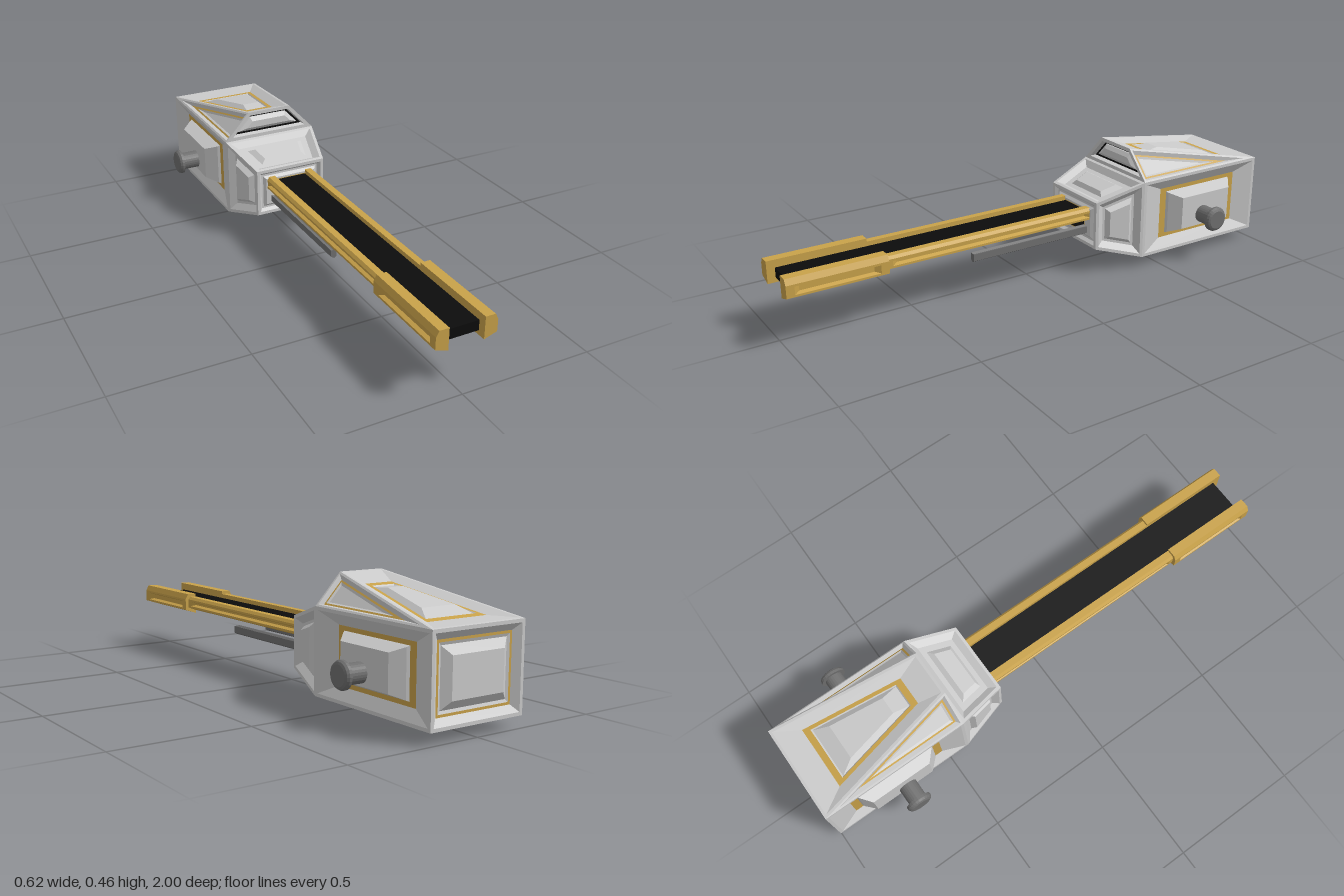
import * as THREE from 'three';

const GREY = 0xcccccc, DARK = 0x707070, GOLD = 0xc9a24a, BLACK = 0x0c0c0c;
const material = (color) => new THREE.MeshStandardMaterial({ color, flatShading: true, side: THREE.DoubleSide });
const mirror = (pts) => pts.map(([x, y, z]) => [-x, y, z]);

// Convex outline moved inwards; inset is one distance or one per edge.
function insetLoop(pts, normal, inset, depth, outward) {
  const n = pts.length;
  const dist = (i) => (Array.isArray(inset) ? inset[i] : inset);
  const inward = pts.map((p, i) => normal.clone().cross(pts[(i + 1) % n].clone().sub(p)).normalize());
  return pts.map((p, i) => {
    const h = (i + n - 1) % n, c = inward[h].dot(inward[i]), k = 1 - c * c;
    return p.clone()
      .addScaledVector(inward[h], (dist(h) - c * dist(i)) / k)
      .addScaledVector(inward[i], (dist(i) - c * dist(h)) / k)
      .addScaledVector(outward, depth);
  });
}

// Solid made of flat faces, each stepped inwards by rows of [inset, depth, colour].
function panelled(name, centre, faces, base = GREY) {
  const group = new THREE.Group();
  group.name = name;
  const byColor = new Map();
  const mid = new THREE.Vector3(...centre);
  for (const [corners, steps = []] of faces) {
    const pts = corners.map((c) => new THREE.Vector3(...c));
    const normal = pts[1].clone().sub(pts[0]).cross(pts[2].clone().sub(pts[0])).normalize();
    const centroid = pts.reduce((s, p) => s.add(p), new THREE.Vector3()).divideScalar(pts.length);
    const flip = normal.dot(centroid.sub(mid)) < 0;
    const outward = flip ? normal.clone().negate() : normal;
    const tri = (color, a, b, c) => {
      if (!byColor.has(color)) byColor.set(color, []);
      for (const v of flip ? [a, c, b] : [a, b, c]) byColor.get(color).push(v.x, v.y, v.z);
    };
    let ring = pts, color = base;
    for (const [inset, depth, stepColor = base] of steps) {
      const next = insetLoop(pts, normal, inset, depth, outward);
      color = stepColor;
      ring.forEach((a, i) => {
        const j = (i + 1) % ring.length;
        tri(color, a, ring[j], next[j]);
        tri(color, a, next[j], next[i]);
      });
      ring = next;
    }
    for (let i = 1; i < ring.length - 1; i++) tri(color, ring[0], ring[i], ring[i + 1]);
  }
  for (const [color, data] of byColor) {
    const geo = new THREE.BufferGeometry();
    geo.setAttribute('position', new THREE.Float32BufferAttribute(data, 3));
    geo.computeVertexNormals();
    const mesh = new THREE.Mesh(geo, material(color));
    mesh.name = name + 'Surface';
    group.add(mesh);
  }
  return group;
}

// Straight bar along z with an optional groove along one side.
function bar(name, section, z0, z1, color, groove = -1) {
  const at = (z) => section.map(([x, y]) => [x, y, z]);
  const a = at(z0), b = at(z1), n = section.length;
  const faces = [[a], [b]];
  for (let i = 0; i < n; i++) {
    const j = (i + 1) % n;
    const steps = [[[0.03, 0.008, 0.03, 0.008], 0], [[0.05, 0.014, 0.05, 0.014], -0.014]];
    faces.push([[a[i], a[j], b[j], b[i]], i === groove ? steps : []]);
  }
  const cx = section.reduce((s, p) => s + p[0], 0) / n, cy = section.reduce((s, p) => s + p[1], 0) / n;
  return panelled(name, [cx, cy, (z0 + z1) / 2], faces, color);
}

export function createModel() {
  const model = new THREE.Group();
  const W = 0.193, B = 0.04, T = 0.35, F = -0.42, R = -1;     // main housing
  const w = 0.145, b = 0.1, t = 0.29, f = -0.225;             // small front face
  const P = 0.09, H = 0.46;                                   // roof peak

  // Main housing
  const side = [[W, B, F], [W, B, R], [W, T, R], [W, T, F]];
  const sideSteps = [
    [0.012, 0], [[0.052, 0.095, 0.052, 0.1], -0.025],
    [[0.068, 0.125, 0.068, 0.13], -0.025, GOLD],
    [[0.072, 0.13, 0.072, 0.135], -0.015], [[0.09, 0.165, 0.09, 0.175], 0.027]];
  const back = [[-W, B, R], [W, B, R], [W, T, R], [-W, T, R]];
  const bottom = [[-W, B, F], [W, B, F], [W, B, R], [-W, B, R]];
  model.add(panelled('housing', [0, 0.2, -0.7], [
    [side, sideSteps], [mirror(side), sideSteps],
    [back, [[0.012, 0], [0.036, -0.02], [0.045, -0.02, GOLD], [0.055, -0.024], [0.085, -0.002]]],
    [bottom, [[0.012, 0], [[0.12, 0.05, 0.08, 0.05], -0.02], [[0.14, 0.065, 0.1, 0.065], -0.02, DARK],
      [[0.17, 0.09, 0.13, 0.09], -0.004], [[0.2, 0.115, 0.16, 0.115], -0.004],
      [[0.21, 0.125, 0.17, 0.125], -0.012, DARK]]],
  ]));

  // Tapered nose
  const noseSide = [[W, B, F], [w, b, f], [w, t, f], [W, T, F]];
  const noseTop = [[-W, T, F], [W, T, F], [w, t, f], [-w, t, f]];
  const noseBottom = [[-W, B, F], [W, B, F], [w, b, f], [-w, b, f]];
  const noseFront = [[-w, b, f], [w, b, f], [w, t, f], [-w, t, f]];
  const noseSteps = [[0.012, 0], [0.035, -0.02], [0.045, -0.02], [0.06, -0.002]];
  const noseTopSteps = [[0.012, 0], [0.035, -0.018], [[0.055, 0.06, 0.055, 0.06], -0.018], [[0.07, 0.08, 0.07, 0.08], -0.004]];
  model.add(panelled('nose', [0, 0.2, -0.36], [
    [noseSide, noseSteps], [mirror(noseSide), noseSteps],
    [noseTop, noseTopSteps], [noseBottom, noseTopSteps],
    [noseFront, [[0.012, 0], [0.022, -0.012], [0.03, -0.012], [0.04, -0.002],
      [[0.047, 0.076, 0.047, 0.076], -0.002], [[0.05, 0.079, 0.05, 0.079], -0.002, GOLD],
      [[0.05, 0.079, 0.05, 0.079], -0.05, BLACK]]],
  ]));

  // Sloping roof with a dark-framed front window
  const roofTop = [[-P, H, F], [P, H, F], [W, T, R], [-W, T, R]];
  const roofFront = [[-W, T, F], [W, T, F], [P, H, F], [-P, H, F]];
  const roofSide = [[W, T, F], [W, T, R], [P, H, F]];
  const roofSideSteps = [[0.008, 0], [0.019, -0.012], [0.026, -0.012, GOLD], [0.034, -0.016]];
  model.add(panelled('roof', [0, 0.38, -0.6], [
    [roofTop, [[0.01, 0], [[0.1, 0.05, 0.1, 0.05], -0.016], [[0.125, 0.064, 0.125, 0.064], -0.016, GOLD],
      [[0.13, 0.068, 0.13, 0.068], -0.02], [[0.19, 0.088, 0.19, 0.088], -0.004]]],
    [roofFront, [[0.014, 0], [0.018, -0.02], [0.026, -0.02, BLACK], [0.028, -0.016], [0.042, -0.004]]],
    [roofSide, roofSideSteps], [mirror(roofSide), roofSideSteps],
  ]));

  // Side knobs
  const knobProfile = [[0, 0.2], [0.035, 0.2], [0.035, 0.288], [0.049, 0.288], [0.049, 0.298], [0.044, 0.306], [0.036, 0.31], [0, 0.31]]
    .map(([r, y]) => new THREE.Vector2(r, y));
  for (const s of [1, -1]) {
    const knob = new THREE.Mesh(new THREE.LatheGeometry(knobProfile, 24), material(DARK));
    knob.name = s > 0 ? 'leftKnob' : 'rightKnob';
    knob.rotation.z = -s * Math.PI / 2;
    knob.position.set(0, 0.175, -0.7);
    model.add(knob);
  }

  // Barrel: paired grooved rails, thicker at the muzzle, with rods below
  const rearRail = [[0.066, 0.255], [0.092, 0.255], [0.101, 0.245], [0.101, 0.21], [0.066, 0.197]];
  const muzzleRail = [[0.066, 0.267], [0.103, 0.267], [0.114, 0.246], [0.114, 0.2], [0.066, 0.184]];
  const rod = [[0.063, 0.178], [0.072, 0.172], [0.085, 0.176], [0.085, 0.15], [0.073, 0.143], [0.063, 0.149]];
  for (const s of [1, -1]) {
    const flip = (section) => section.map(([x, y]) => [s * x, y]);
    const label = s > 0 ? 'left' : 'right';
    model.add(bar(label + 'Rail', flip(rearRail), -0.26, 0.64, GOLD, 2));
    model.add(bar(label + 'MuzzleRail', flip(muzzleRail), 0.63, 1, GOLD, 2));
    model.add(bar(label + 'Rod', flip(rod), -0.26, 0.28, DARK));
  }
  const core = new THREE.Mesh(new THREE.BoxGeometry(0.134, 0.038, 1.23), material(BLACK));
  core.name = 'barrelCore';
  core.position.set(0, 0.219, 0.355);
  model.add(core);

  // Slanted loop handle underneath
  const half = [[0.053, 0.06, -0.477], [0.053, 0.02, -0.513], [0.051, 0.01, -0.522], [0.043, 0.007, -0.525]];
  const path = [...half, ...mirror(half).reverse()].map((p) => new THREE.Vector3(...p));
  const curve = new THREE.CatmullRomCurve3(path, false, 'centripetal');
  const handle = new THREE.Mesh(new THREE.TubeGeometry(curve, 60, 0.007, 10), material(DARK));
  handle.material.flatShading = false;
  handle.name = 'handle';
  model.add(handle);
  return model;
}
